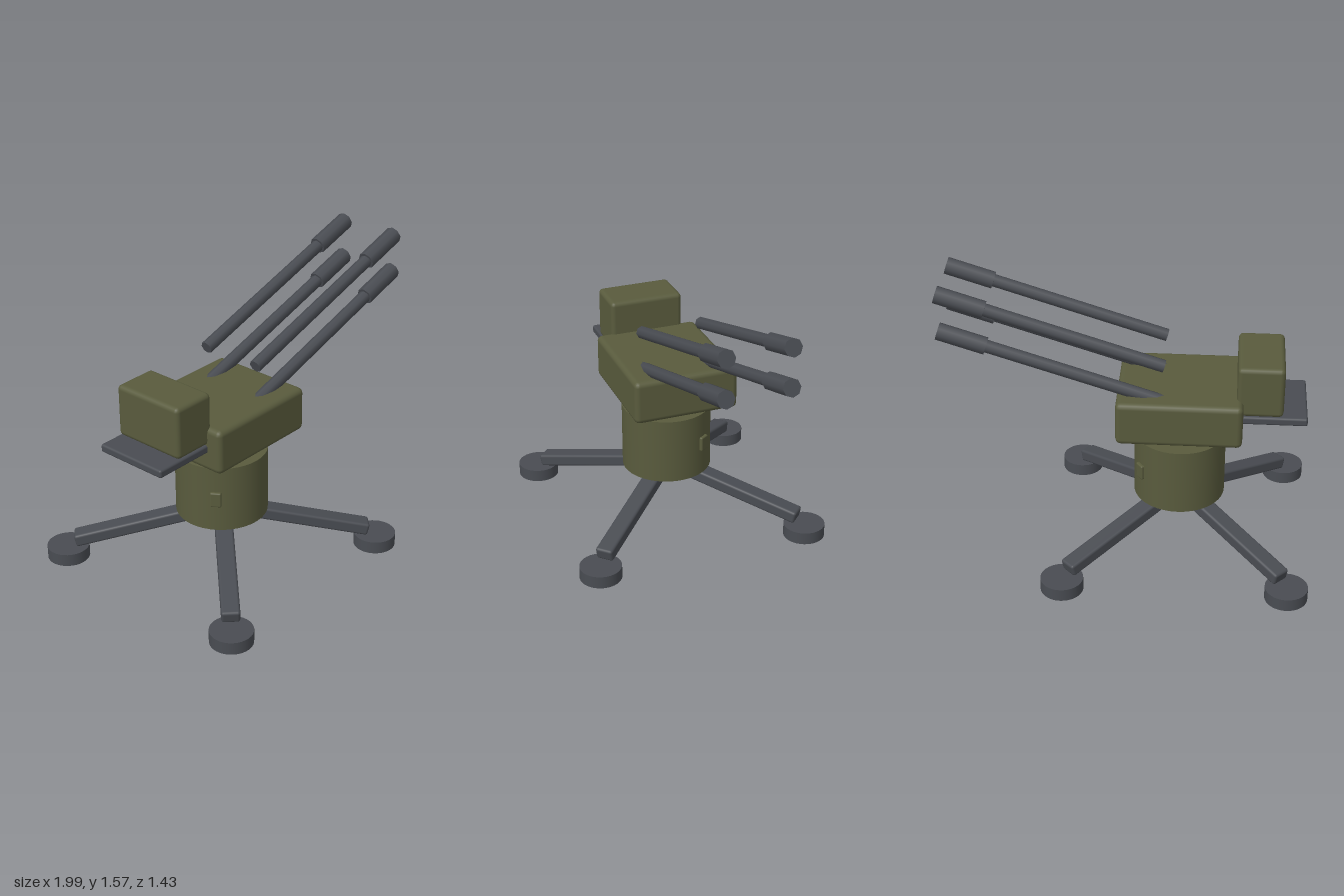
import * as THREE from 'three';
import { RoundedBoxGeometry } from 'three/addons/geometries/RoundedBoxGeometry.js';

const olive = new THREE.MeshStandardMaterial({ color: 0x595b3d });
olive.name = 'olive paint';
const steel = new THREE.MeshStandardMaterial({ color: 0x494c52 });
steel.name = 'gun steel';

const AXIS_X = -0.285; // vertical axis of the mount

function add(parent, name, geometry, material, x = 0, y = 0, z = 0) {
  const mesh = new THREE.Mesh(geometry, material);
  mesh.name = name;
  mesh.position.set(x, y, z);
  parent.add(mesh);
  return mesh;
}

const box = (w, h, d, r) => new RoundedBoxGeometry(w, h, d, 2, r);

// Cylinder lying along +x, starting at the given distance
function rod(radius, start, length, sides) {
  const g = new THREE.CylinderGeometry(radius, radius, length, sides);
  g.rotateZ(-Math.PI / 2);
  g.translate(start + length / 2, 0, 0);
  return g;
}

export function createModel() {
  const model = new THREE.Group();
  model.name = 'gunMount';

  // Four sloping legs with round foot pads
  const legReach = 0.806, legSlope = 0.225;
  const legLength = legReach / Math.cos(legSlope);
  for (const sx of [-1, 1]) {
    for (const sz of [-1, 1]) {
      const pivot = new THREE.Group();
      pivot.name = 'legPivot';
      pivot.position.set(AXIS_X, 0.293, 0);
      pivot.rotation.y = Math.atan2(-sz, sx);
      model.add(pivot);
      const legGeometry = box(legLength, 0.07, 0.098, 0.014);
      legGeometry.translate(legLength / 2, 0, 0);
      add(pivot, 'leg', legGeometry, steel).rotation.z = -legSlope;
      add(model, 'footPad', new THREE.CylinderGeometry(0.115, 0.115, 0.07, 32), steel,
        AXIS_X + sx * 0.598, 0.035, sz * 0.598);
    }
  }

  // Pedestal with a small lug on opposite sides
  add(model, 'pedestal', new THREE.CylinderGeometry(0.25, 0.25, 0.375, 40), olive, AXIS_X, 0.4675, 0);
  for (const s of [-1, 1]) {
    const lug = add(model, 'pedestalLug', box(0.05, 0.085, 0.06, 0.008), olive,
      AXIS_X - s * 0.197, 0.47, s * 0.137);
    lug.rotation.y = Math.atan2(0.137, 0.197);
  }

  // Gun housing, rear tray and ammunition box
  add(model, 'housing', box(0.67, 0.247, 0.59, 0.03), olive, AXIS_X, 0.848, 0);
  add(model, 'tray', box(0.36, 0.045, 0.42, 0.012), steel, -0.78, 0.852, 0);
  add(model, 'ammoBox', box(0.247, 0.287, 0.42, 0.025), olive, -0.708, 1.018, 0);

  // Two pairs of raised barrels, each with a thicker muzzle
  for (const z of [-0.175, 0.165]) {
    for (const y of [0.935, 1.147]) {
      const barrel = new THREE.Group();
      barrel.name = 'barrelAssembly';
      barrel.position.set(-0.2, y, z);
      barrel.rotation.z = 0.308;
      add(barrel, 'barrel', rod(0.035, 0, 1.0, 8), steel);
      add(barrel, 'muzzle', rod(0.048, 0.975, 0.262, 8), steel);
      model.add(barrel);
    }
  }

  return model;
}
